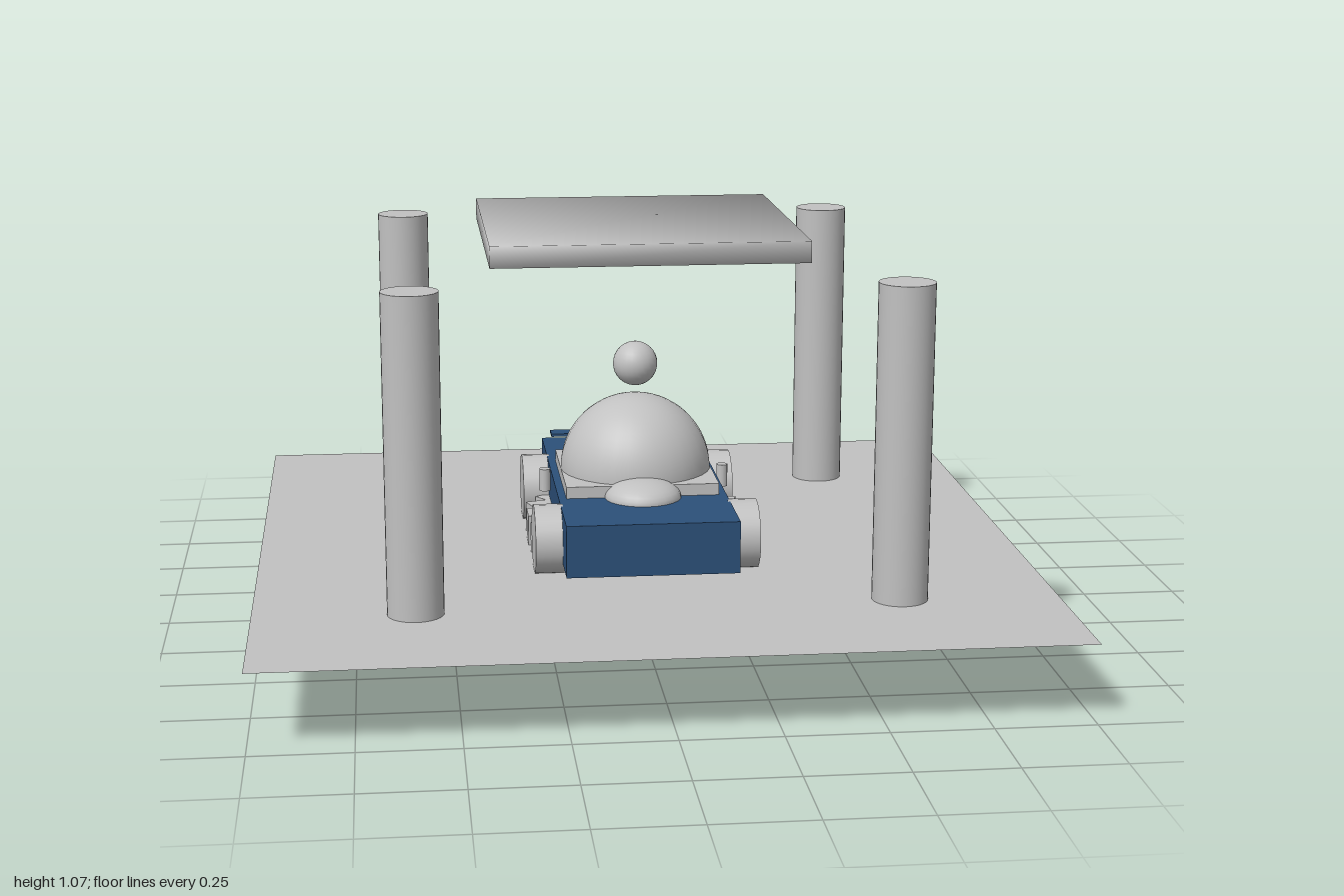
import * as THREE from 'three';

export function createModel() {
  const model = new THREE.Group();
  const grey = new THREE.MeshStandardMaterial({ color: 0xc1c1c1, side: THREE.DoubleSide });
  grey.name = 'stone grey';
  const blue = new THREE.MeshStandardMaterial({ color: 0x2c5079 });
  blue.name = 'body blue';

  const add = (name, geometry, material, x, y, z, parent = model) => {
    const mesh = new THREE.Mesh(geometry, material);
    mesh.name = name;
    mesh.position.set(x, y, z);
    parent.add(mesh);
    return mesh;
  };

  // Thin ground sheet
  add('ground', new THREE.PlaneGeometry(2, 2).rotateX(-Math.PI / 2), grey, 0, 0.2, 0);

  // Four corner pillars
  const pillar = new THREE.CylinderGeometry(0.07, 0.07, 0.8, 32);
  for (const x of [-0.6, 0.6]) {
    for (const z of [-0.6, 0.6]) add('pillar', pillar, grey, x, 0.6, z);
  }

  // Central block, dome and floating ball
  add('centralBlock', new THREE.BoxGeometry(0.4, 0.4, 0.4), grey, 0, 0.2, 0);
  add('dome', new THREE.SphereGeometry(0.2, 32, 16, 0, Math.PI * 2, 0, Math.PI / 2), grey, 0, 0.4, 0);
  add('ball', new THREE.SphereGeometry(0.059, 24, 16), grey, 0, 0.683, 0);

  // Rings of blocks, each block turned against its place on the circle
  const blockRing = (name, count, radius, size, y) => {
    const ring = new THREE.Group();
    ring.name = name;
    const block = new THREE.BoxGeometry(size, size, size);
    for (let i = 0; i < count; i++) {
      const a = (i / count) * Math.PI * 2;
      add('block', block, grey, Math.cos(a) * radius, y, Math.sin(a) * radius, ring).rotation.y = a;
    }
    model.add(ring);
  };
  blockRing('lowerBlockRing', 20, 0.297, 0.098, 0.15);
  blockRing('upperBlockRing', 20, 0.25, 0.08, 0.24);

  // Vehicle body with rear wing and front bump
  add('vehicleBody', new THREE.BoxGeometry(0.44, 0.135, 0.92), blue, 0, 0.302, 0);
  add('rearWing', new THREE.BoxGeometry(0.4, 0.008, 0.05), blue, 0, 0.402, -0.38);
  add('frontBump', new THREE.SphereGeometry(0.1, 24, 16).scale(1, 0.5, 1), grey, 0, 0.37, 0.2);

  // Wheels and side mirrors
  const wheel = new THREE.CylinderGeometry(0.09, 0.09, 0.075, 24).rotateZ(Math.PI / 2);
  const mirror = new THREE.CylinderGeometry(0.015, 0.015, 0.06, 12);
  for (const side of [-1, 1]) {
    for (const z of [-0.26, 0.26]) add('wheel', wheel, grey, side * 0.252, 0.281, z);
    add('sideMirror', mirror, grey, side * 0.24, 0.36, -0.038);
  }

  // Floating roof slab, shaded as one soft pillow by its corner normals
  const slab = new THREE.BoxGeometry(0.8, 0.055, 0.8);
  const p = slab.attributes.position;
  const k = 1 / Math.sqrt(3);
  for (let i = 0; i < p.count; i++) {
    slab.attributes.normal.setXYZ(i, Math.sign(p.getX(i)) * k, Math.sign(p.getY(i)) * k, Math.sign(p.getZ(i)) * k);
  }
  add('roof', slab, grey, 0, 1.042, 0);

  return model;
}
